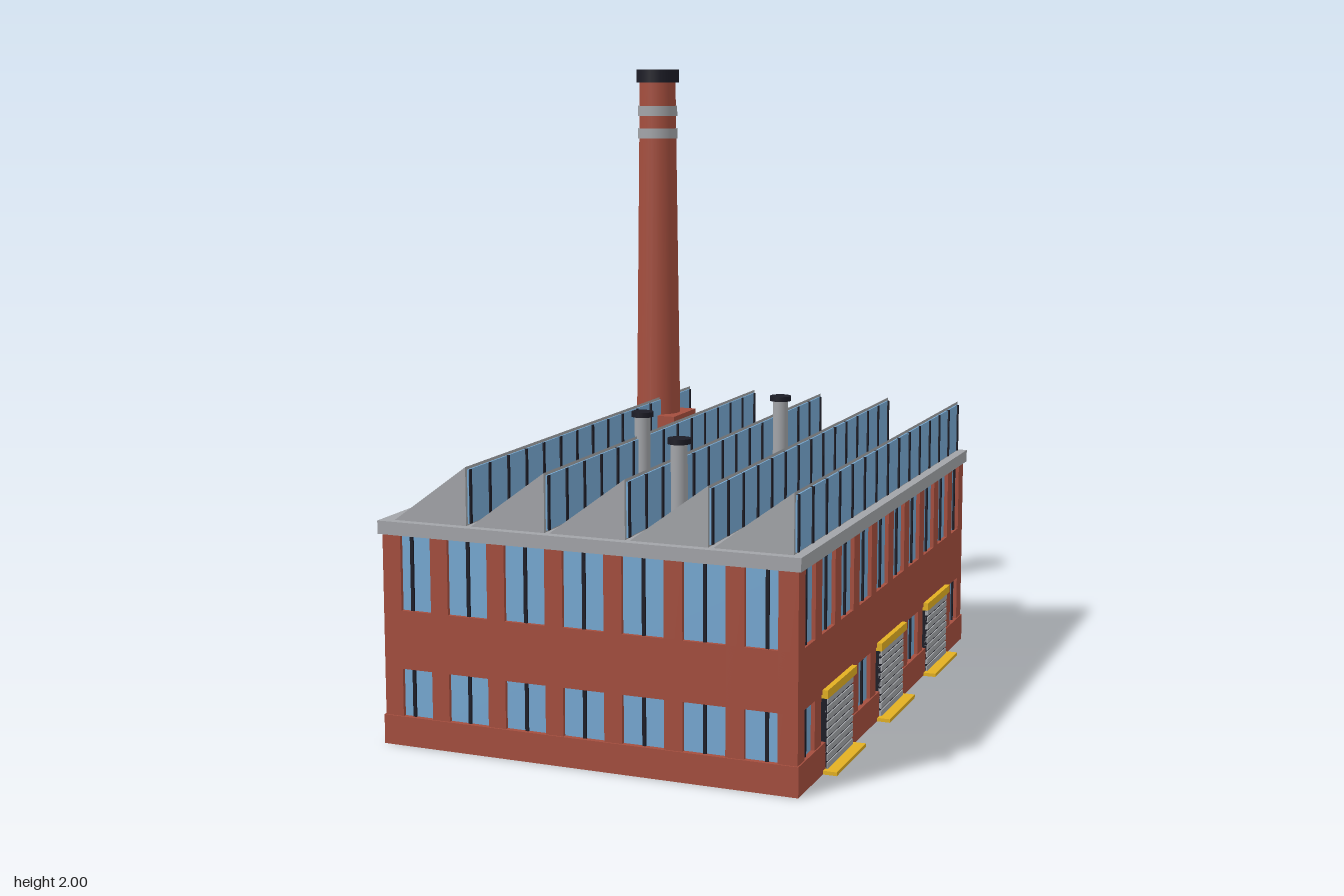
import * as THREE from 'three';

const mat = (name, color) => {
  const m = new THREE.MeshStandardMaterial({ color });
  m.name = name;
  return m;
};

export function createModel() {
  const brick = mat('brick', 0xa44e3e);
  const glass = mat('glass', 0x76a8d2);
  const grey = mat('roofGrey', 0xa2a4a8);
  const dark = mat('darkMetal', 0x1c1c26);
  const yellow = mat('safetyYellow', 0xe2b022);

  const model = new THREE.Group();
  model.name = 'factory';

  const group = (name, parent = model) => {
    const g = new THREE.Group();
    g.name = name;
    parent.add(g);
    return g;
  };
  const add = (parent, name, geometry, material, x = 0, y = 0, z = 0) => {
    const mesh = new THREE.Mesh(geometry, material);
    mesh.name = name;
    mesh.position.set(x, y, z);
    parent.add(mesh);
    return mesh;
  };
  // Box given by its lower and upper limits on each axis
  const box = (parent, name, material, x0, x1, y0, y1, z0, z1) =>
    add(parent, name, new THREE.BoxGeometry(x1 - x0, y1 - y0, z1 - z0), material,
      (x0 + x1) / 2, (y0 + y1) / 2, (z0 + z1) / 2);
  // Upright cylinder between two heights
  const tube = (parent, name, material, r0, r1, y0, y1, x, z) =>
    add(parent, name, new THREE.CylinderGeometry(r1, r0, y1 - y0, 24), material, x, (y0 + y1) / 2, z);

  const CX = -0.019, HX = 0.648, HZ = 0.882, RECESS = 0.012, EAVES = 0.64;

  // Main block: glazed core with solid brick bands around it
  const block = group('mainBlock');
  block.position.x = CX;
  const slab = (name, m, hx, hz, y0, y1) => box(block, name, m, -hx, hx, y0, y1, -hz, hz);
  slab('glazedCore', glass, HX - RECESS, HZ - RECESS, 0, EAVES);
  slab('plinth', brick, HX + 0.004, HZ + 0.005, 0.001, 0.09);
  slab('spandrelBand', brick, HX, HZ, 0.235, 0.412);
  slab('cornice', grey, HX + 0.01, HZ + 0.011, EAVES, 0.68);

  // Corner piers
  for (const sx of [-1, 1]) for (const sz of [-1, 1]) {
    add(block, 'cornerPier', new THREE.BoxGeometry(0.059, EAVES - 0.09, 0.057), brick,
      sx * (HX - 0.0295), (EAVES + 0.09) / 2, sz * (HZ - 0.0285));
  }

  // One facade facing +z in its own frame: piers between bays and a bar in each window
  function facade(name, angle, bays, pitch, dist) {
    const wall = group(name, block);
    wall.rotation.y = angle;
    for (let i = 0; i < bays; i++) {
      const c = (i - (bays - 1) / 2) * pitch;
      if (i > 0) {
        const p = c - pitch / 2;
        box(wall, 'pier', brick, p - 0.028, p + 0.028, 0.09, EAVES, dist - 0.03, dist);
      }
      for (const [y0, y1] of [[0.09, 0.235], [0.412, EAVES]]) {
        box(wall, 'windowBar', dark, c - 0.005, c + 0.005, y0, y1,
          dist - RECESS - 0.002, dist - RECESS + 0.006);
      }
    }
  }
  facade('frontFacade', 0, 7, 0.185, HZ);
  facade('backFacade', Math.PI, 7, 0.185, HZ);
  facade('leftFacade', Math.PI / 2, 10, 0.177, HX);
  facade('rightFacade', -Math.PI / 2, 10, 0.177, HX);

  // Sawtooth roof with upright glazing on the +x side of each tooth
  const roof = group('sawtoothRoof');
  const PITCH = 0.2515, FACE = 0.243, HALF = 0.866;
  const profile = new THREE.Shape([
    new THREE.Vector2(0, 0.675), new THREE.Vector2(FACE, 0.675), new THREE.Vector2(FACE, 0.854),
  ]);
  const toothGeo = new THREE.ExtrudeGeometry(profile, { depth: 2 * HALF, bevelEnabled: false });
  for (let i = 0; i < 5; i++) {
    const tooth = group('roofTooth', roof);
    tooth.position.x = -0.64 + i * PITCH;
    add(tooth, 'toothBody', toothGeo, grey, 0, 0, -HALF);
    box(tooth, 'northLight', glass, FACE, FACE + 0.005, 0.685, 0.845, -0.855, 0.855);
    for (let k = -7; k <= 7; k++) {
      const z = k * 0.121;
      box(tooth, 'glazingBar', dark, FACE, FACE + 0.009, 0.685, 0.845, z - 0.006, z + 0.006);
    }
  }

  // Chimney with square base, pale bands and dark cap
  const chimney = group('chimney');
  const sx = -0.43, sz = -0.648;
  box(chimney, 'chimneyBase', brick, sx - 0.102, sx + 0.102, 0.66, 0.792, sz - 0.102, sz + 0.102);
  tube(chimney, 'chimneyShaft', brick, 0.079, 0.063, 0.68, 1.96, sx, sz);
  tube(chimney, 'lowerBand', grey, 0.07, 0.07, 1.762, 1.797, sx, sz);
  tube(chimney, 'upperBand', grey, 0.069, 0.069, 1.84, 1.875, sx, sz);
  tube(chimney, 'chimneyCap', dark, 0.075, 0.075, 1.955, 2, sx, sz);

  // Roof vents
  for (const [x, z] of [[0.157, -0.295], [-0.137, 0.175], [0.157, 0.587]]) {
    const vent = group('roofVent');
    tube(vent, 'ventPipe', grey, 0.025, 0.025, 0.67, 0.92, x, z);
    tube(vent, 'ventCap', dark, 0.035, 0.035, 0.914, 0.93, x, z);
  }

  // Loading doors on the +x side
  for (const z of [-0.53, 0, 0.53]) {
    const door = group('loadingDoor');
    door.position.z = z;
    box(door, 'doorPanel', dark, 0.6, 0.636, 0.008, 0.224, -0.12, 0.12);
    for (let i = 0; i < 9; i++) {
      const y = 0.011 + i * 0.0238;
      box(door, 'doorSlat', grey, 0.63, 0.64, y, y + 0.0175, -0.12, 0.12);
    }
    box(door, 'doorLintel', yellow, 0.61, 0.645, 0.223, 0.248, -0.138, 0.138);
    box(door, 'dockPlate', yellow, 0.625, 0.674, 0, 0.011, -0.14, 0.14);
  }

  return model;
}
